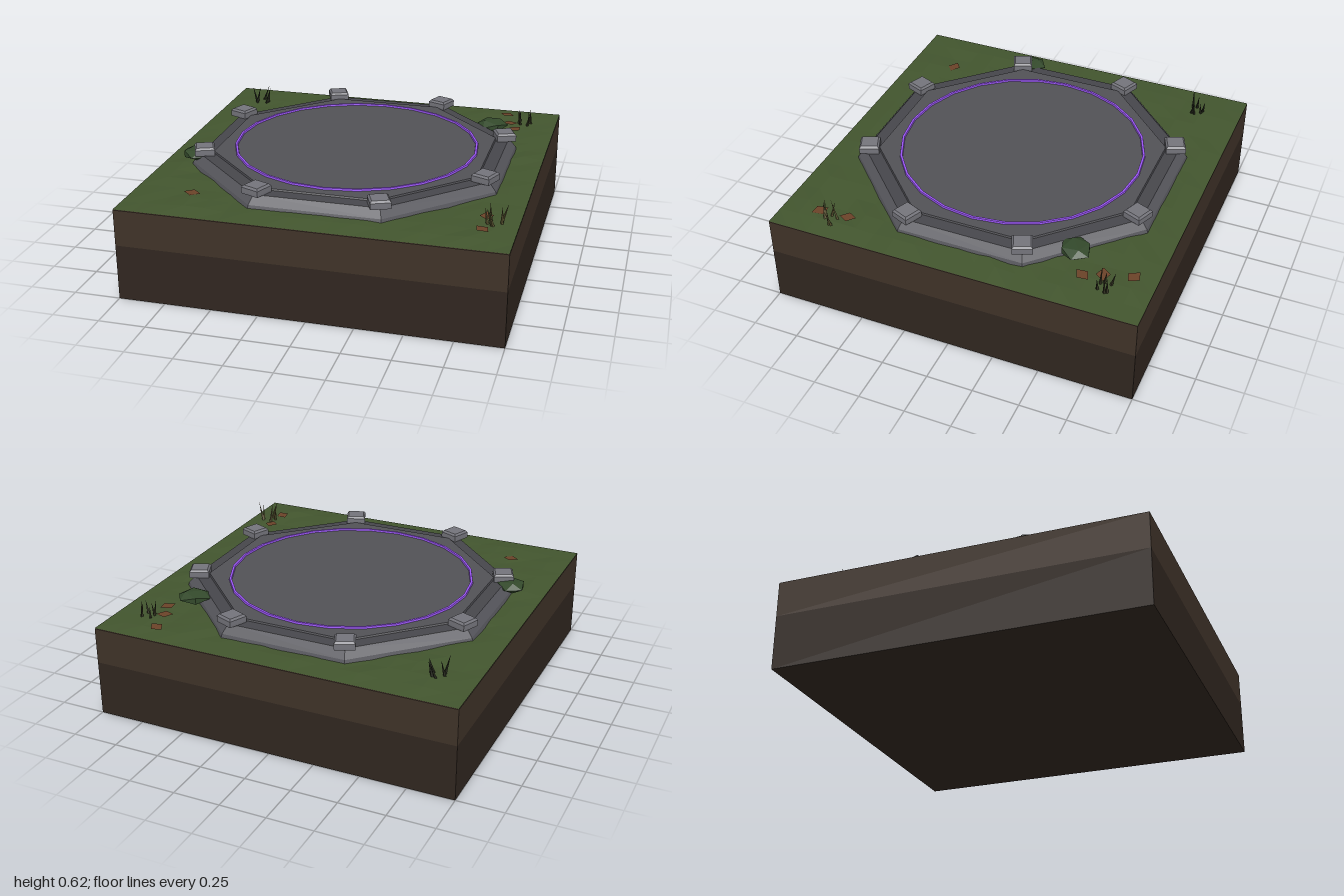
import * as THREE from 'three';

const mat = (color, extra = {}) => new THREE.MeshStandardMaterial({ color, flatShading: true, ...extra });

// Small seeded generator for natural variation
function seeded(seed) {
  return () => {
    seed = (seed * 16807) % 2147483647;
    return seed / 2147483647;
  };
}

export function createModel() {
  const group = new THREE.Group();
  const rand = seeded(4217);

  const add = (name, geometry, material, x = 0, y = 0, z = 0, parent = group) => {
    const mesh = new THREE.Mesh(geometry, material);
    mesh.name = name;
    mesh.position.set(x, y, z);
    parent.add(mesh);
    return mesh;
  };
  const lathe = (points, sides, start) =>
    new THREE.LatheGeometry(points.map(([r, y]) => new THREE.Vector2(r, y)), sides, start);

  // Earth block in two layers
  add('lowerSoil', new THREE.BoxGeometry(2, 0.3, 2), mat(0x30261f), 0, 0.15, 0);
  add('upperSoil', new THREE.BoxGeometry(2, 0.196, 2), mat(0x3f3228), 0, 0.398, 0);

  // Gently uneven turf, level along its edges
  const turf = new THREE.PlaneGeometry(2, 2, 18, 18).rotateX(-Math.PI / 2);
  const pos = turf.attributes.position;
  for (let i = 0; i < pos.count; i++) {
    const edge = Math.max(Math.abs(pos.getX(i)), Math.abs(pos.getZ(i))) > 0.99;
    pos.setY(i, edge ? 0.5 : 0.502 + 0.012 * rand());
  }
  add('turf', turf, mat(0x42552e));

  // Octagonal stone dais: sloped wall, rim and slightly raised floor
  const eighth = Math.PI / 8;
  add('daisWall', lathe([[0.905, 0.498], [0.895, 0.525], [0.855, 0.568]], 8, eighth), mat(0x56565c));
  add('daisRim', lathe([[0.855, 0.568], [0.785, 0.572], [0.78, 0.58]], 8, eighth), mat(0x46464b));
  add('daisFloor', lathe([[0.78, 0.58], [0, 0.58]], 8, eighth), mat(0x515156));

  // Glowing inlay ring
  const ringProfile = [[0.652, 0.579], [0.668, 0.579], [0.666, 0.59], [0.654, 0.59], [0.652, 0.579]];
  add('inlayRing', lathe(ringProfile, 24, 0), mat(0x9a55f5));

  // Chamfered capstones on the eight corners
  const d = Math.SQRT1_2;
  const capGeometry = lathe(
    [[0, -0.022], [0.088 * d * 1.2, -0.022], [0.107 * d, -0.011], [0.107 * d, 0.011], [0.088 * d, 0.022], [0, 0.022]],
    4, Math.PI / 4);
  const capMaterial = mat(0x74747b);
  for (let i = 0; i < 8; i++) {
    const a = eighth + i * Math.PI / 4;
    const cap = add('capstone', capGeometry, capMaterial, 0.83 * Math.sin(a), 0.594, 0.83 * Math.cos(a));
    cap.rotation.y = a;
  }

  // Low mossy clumps leaning against the dais
  for (const [x, y, z, turn] of [[0.66, 0.562, -0.56, 0.6], [-0.82, 0.557, 0.29, 2.1]]) {
    const clump = add('mossClump', new THREE.IcosahedronGeometry(1, 0), mat(0x33492b), x, y, z);
    clump.scale.set(0.095, 0.034, 0.085);
    clump.rotation.y = turn;
  }

  // Tufts of thin, splayed grass blades
  const blade = new THREE.ConeGeometry(0.009, 1, 4).translate(0, 0.5, 0);
  const tufts = [
    [-0.8, -0.75, 0.12, 0x25281c],
    [0.82, -0.77, 0.1, 0x30301f],
    [0.88, 0.7, 0.13, 0x57512f],
  ];
  for (const [x, z, height, color] of tufts) {
    const tuft = new THREE.Group();
    tuft.name = 'grassTuft';
    tuft.position.set(x, 0.5, z);
    const material = mat(color);
    for (let i = 0; i < 6; i++) {
      const a = i * Math.PI / 3 + rand();
      const b = add('grassBlade', blade, material, 0.035 * Math.sin(a), 0, 0.035 * Math.cos(a), tuft);
      b.scale.y = height * (0.75 + 0.3 * rand());
      b.rotation.set((rand() - 0.5) * 0.6, 0, (rand() - 0.5) * 0.6);
    }
    group.add(tuft);
  }

  // Fallen leaves
  const outline = new THREE.Shape();
  outline.moveTo(-0.042, 0.018);
  outline.lineTo(-0.012, -0.034);
  outline.lineTo(0.042, -0.018);
  outline.lineTo(0.012, 0.034);
  const leafGeometry = new THREE.ShapeGeometry(outline).rotateX(-Math.PI / 2);
  const leafMaterial = mat(0x6a4228, { side: THREE.DoubleSide });
  const leaves = [[0.7, -0.88], [0.74, -0.735], [0.78, -0.64], [0.83, 0.63], [0.835, 0.79], [-0.68, 0.73]];
  leaves.forEach(([x, z], i) => {
    const leaf = add('fallenLeaf', leafGeometry, leafMaterial, x, 0.517, z);
    leaf.rotation.set(0.12 * (rand() - 0.5), i * 0.7, 0.12 * (rand() - 0.5));
  });

  return group;
}
